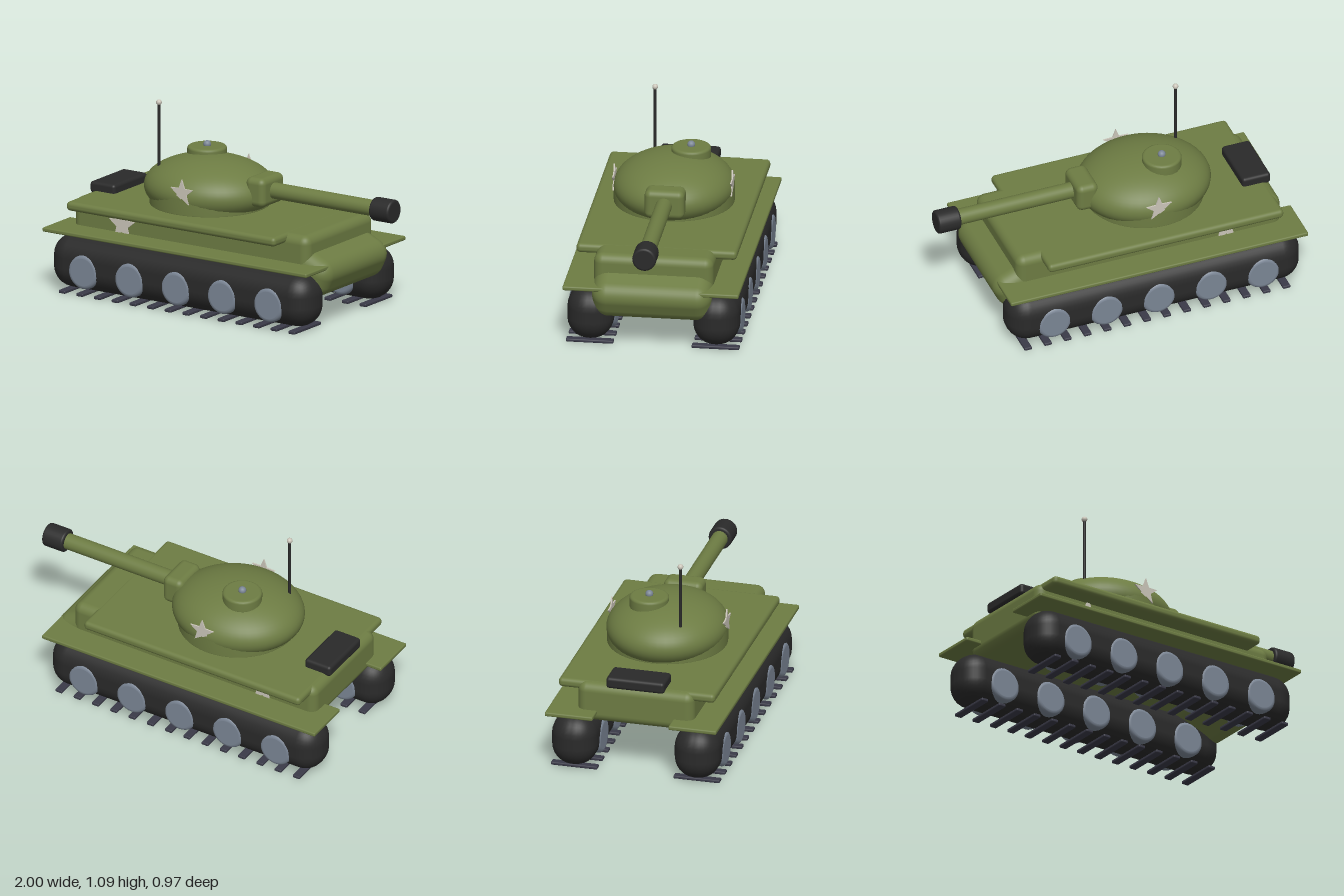
import * as THREE from 'three';
import { RoundedBoxGeometry } from 'three/addons/geometries/RoundedBoxGeometry.js';

function paint(name, color) {
  const m = new THREE.MeshStandardMaterial({ color });
  m.name = name;
  return m;
}

export function createModel() {
  const olive = paint('olive', 0x6d7c43);
  const black = paint('black', 0x2a2a2a);
  const steel = paint('steel', 0x7b8695);
  const cleatGrey = paint('cleatGrey', 0x3a3a48);
  const cream = paint('cream', 0xcbc6ba);

  const tank = new THREE.Group();
  tank.name = 'tank';

  function add(name, geometry, material, x, y, z) {
    const mesh = new THREE.Mesh(geometry, material);
    mesh.name = name;
    mesh.position.set(x, y, z);
    tank.add(mesh);
    return mesh;
  }

  // Rounded box given by its limits on each axis
  function box(name, material, [x0, x1], [y0, y1], [z0, z1], radius, segments = 4) {
    const g = new RoundedBoxGeometry(x1 - x0, y1 - y0, z1 - z0, segments, radius);
    return add(name, g, material, (x0 + x1) / 2, (y0 + y1) / 2, (z0 + z1) / 2);
  }

  // Closed disc or rod around y with rounded rims
  function disc(radius, height, bevel, sides = 32) {
    const h = height / 2, e = bevel * 0.05;
    const pts = [new THREE.Vector2(0, -h), new THREE.Vector2(radius - bevel - e, -h)];
    for (const s of [-1, 1]) {
      for (let i = 0; i <= 4; i++) {
        const a = (s < 0 ? i - 4 : i) * Math.PI / 8;
        pts.push(new THREE.Vector2(
          radius - bevel + bevel * Math.cos(a), s * (h - bevel) + bevel * Math.sin(a)));
      }
    }
    pts.push(new THREE.Vector2(radius - bevel - e, h), new THREE.Vector2(0, h));
    return new THREE.LatheGeometry(pts, sides);
  }

  // Thin five-pointed star
  function star(radius) {
    const s = new THREE.Shape();
    for (let i = 0; i < 10; i++) {
      const a = Math.PI / 2 + i * Math.PI / 5;
      const r = i % 2 ? radius * 0.42 : radius;
      s[i ? 'lineTo' : 'moveTo'](r * Math.cos(a), r * Math.sin(a));
    }
    s.closePath();
    const g = new THREE.ExtrudeGeometry(s, { depth: 0.008, bevelEnabled: false });
    return g.translate(0, 0, -0.004);
  }

  // Hull, sloped nose and top deck
  box('hull', olive, [-0.905, 0.645], [0.29, 0.515], [-0.33, 0.33], 0.05);
  const nose = add('nose', new RoundedBoxGeometry(0.36, 0.22, 0.66, 5, 0.085), olive, 0.583, 0.322, 0);
  nose.rotation.z = -0.436;
  box('deck', olive, [-0.875, 0.505], [0.464, 0.516], [-0.443, 0.443], 0.022, 3);
  box('engineCover', black, [-0.905, -0.74], [0.5, 0.565], [-0.165, 0.165], 0.018, 3);

  // Running gear, mirrored on both sides
  const wheelGeometry = disc(0.098, 0.263, 0.02).rotateX(Math.PI / 2);
  const cleatGeometry = new RoundedBoxGeometry(0.044, 0.018, 0.262, 2, 0.006);
  for (const side of [-1, 1]) {
    const label = side > 0 ? 'right' : 'left';
    const zs = (a, b) => (side > 0 ? [a, b] : [-b, -a]);
    box(label + 'Track', black, [-0.985, 0.73], [0.02, 0.32], zs(0.22, 0.475), 0.12, 4);
    box(label + 'Fender', olive, [-1, 0.745], [0.336, 0.36], zs(0.215, 0.486), 0.008, 2);
    for (let i = 0; i < 5; i++) {
      add(label + 'Wheel', wheelGeometry, steel, -0.74 + i * 0.306, 0.142, side * 0.347);
    }
    for (let i = 0; i < 14; i++) {
      add(label + 'Cleat', cleatGeometry, cleatGrey, -0.876 + i * 0.1167, 0.011, side * 0.347);
    }
    // Painted stars
    add(label + 'HullStar', star(0.09), cream, -0.575, 0.403, side * 0.332);
    add(label + 'TurretStar', star(0.077), cream, -0.185, 0.643, side * 0.326);
  }

  // Turret
  add('turretBase', disc(0.332, 0.12, 0.02, 48), olive, -0.22, 0.56, 0);
  const dome = add('turretDome', new THREE.SphereGeometry(1, 48, 32), olive, -0.22, 0.605, 0);
  dome.scale.set(0.375, 0.176, 0.332);
  add('hatch', disc(0.109, 0.075, 0.015), olive, -0.295, 0.768, -0.083);
  add('hatchKnob', new THREE.SphereGeometry(0.022, 16, 12), steel, -0.295, 0.812, -0.083);

  // Gun
  box('mantlet', olive, [0.08, 0.205], [0.56, 0.725], [-0.11, 0.11], 0.035);
  const barrel = add('barrel', disc(0.045, 0.76, 0.005), olive, 0.52, 0.644, 0);
  const muzzle = add('muzzle', disc(0.066, 0.13, 0.012), black, 0.935, 0.644, 0);
  barrel.rotation.z = muzzle.rotation.z = -Math.PI / 2;

  // Antenna
  add('antenna', new THREE.CylinderGeometry(0.008, 0.008, 0.4, 12), black, -0.463, 0.865, 0.139);
  add('antennaTip', new THREE.SphereGeometry(0.016, 16, 12), cream, -0.463, 1.073, 0.139);

  return tank;
}
